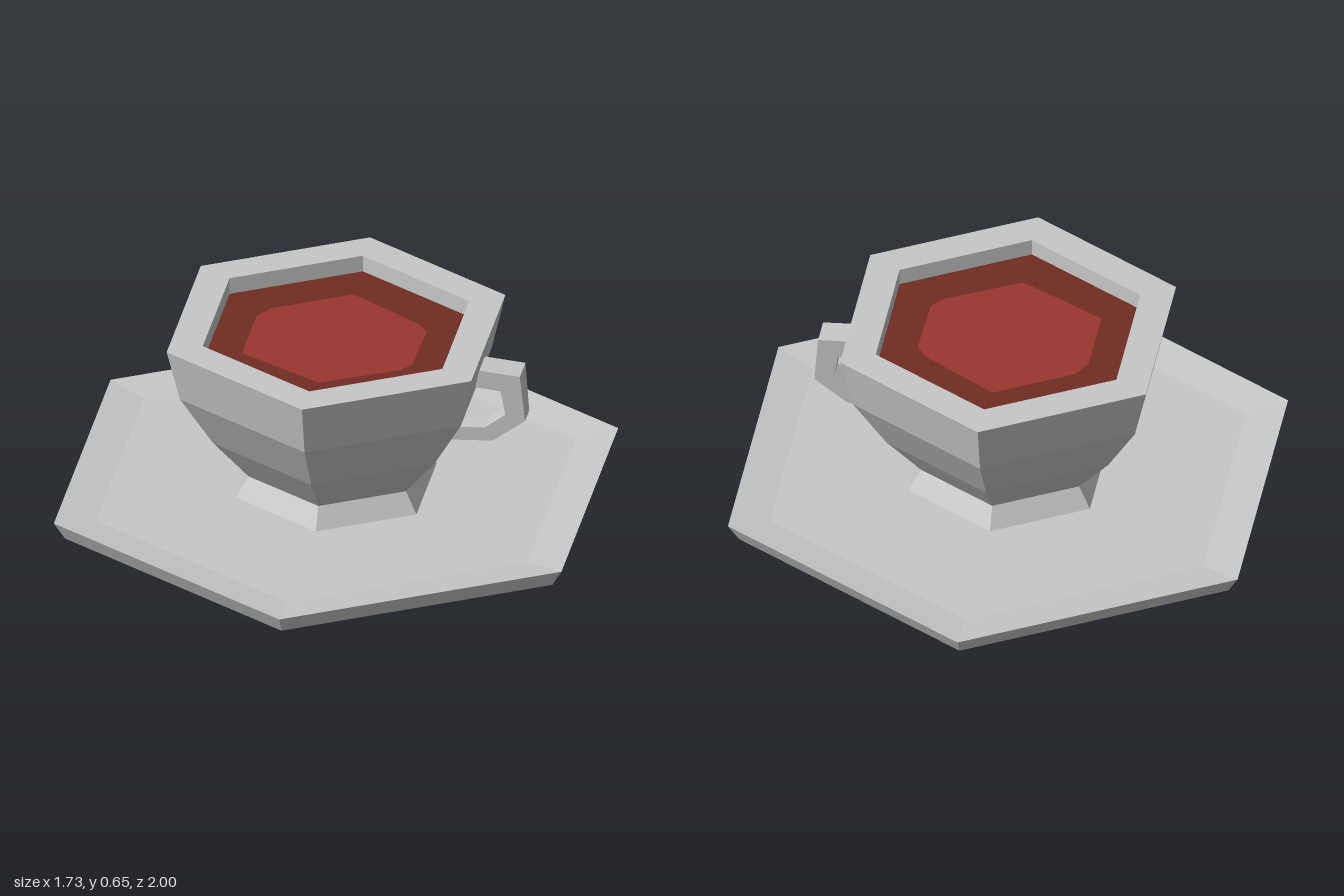
import * as THREE from 'three';

const china = new THREE.MeshStandardMaterial({ color: 0xc6c8c7 });
china.name = 'china';
const darkTea = new THREE.MeshStandardMaterial({ color: 0x702c24 });
darkTea.name = 'dark tea';
const lightTea = new THREE.MeshStandardMaterial({ color: 0x9c3630 });
lightTea.name = 'light tea';

// Gives every face its own flat normal
function faceted(geometry) {
  const flat = geometry.index ? geometry.toNonIndexed() : geometry;
  flat.computeVertexNormals();
  return flat;
}

// Six-sided turned part from [radius, height] pairs
function hexLathe(profile) {
  return faceted(new THREE.LatheGeometry(profile.map(([r, y]) => new THREE.Vector2(r, y)), 6));
}

function outline(points) {
  return new THREE.Shape(points.map(([x, y]) => new THREE.Vector2(x, y)));
}

export function createModel() {
  const model = new THREE.Group();
  model.name = 'teacup and saucer';

  function add(name, geometry, material) {
    const mesh = new THREE.Mesh(geometry, material);
    mesh.name = name;
    model.add(mesh);
    return mesh;
  }

  // Saucer with a slightly dished top
  add('saucer', hexLathe([[0, 0], [0.96, 0], [1, 0.065], [0.85, 0.048], [0, 0.048]]), china);

  // Flared foot under the cup
  add('foot', hexLathe([[0.358, 0.046], [0.31, 0.12]]), china);

  // Bowl: outer wall, thick rim and the inner wall down to the tea
  add('bowl', hexLathe([
    [0, 0.12], [0.31, 0.12], [0.435, 0.27], [0.553, 0.46], [0.6, 0.65], [0.472, 0.65], [0.472, 0.58],
  ]), china);

  // Handle: angular loop, narrowing in width towards the bottom
  const handle = new THREE.ExtrudeGeometry(outline([
    [0.45, 0.553], [0.637, 0.54], [0.652, 0.365], [0.54, 0.275], [0.35, 0.26],
    [0.35, 0.312], [0.515, 0.325], [0.585, 0.383], [0.57, 0.475], [0.45, 0.485],
  ]), { depth: 2, bevelEnabled: false });
  const pos = handle.attributes.position;
  for (let i = 0; i < pos.count; i++) {
    const halfWidth = THREE.MathUtils.mapLinear(pos.getY(i), 0.26, 0.55, 0.03, 0.05);
    pos.setZ(i, (pos.getZ(i) - 1) * halfWidth);
  }
  add('handle', faceted(handle), china);

  // Tea surface with a lighter middle
  const tea = add('teaSurface', new THREE.CircleGeometry(0.472, 6, Math.PI / 6), darkTea);
  const middle = add('teaMiddle', new THREE.ShapeGeometry(outline([
    [0, 0.305], [-0.25, 0.16], [-0.29, 0.1], [-0.29, -0.16], [-0.26, -0.175],
    [0, -0.31], [0.25, -0.175], [0.285, -0.13], [0.29, 0.1], [0.25, 0.15],
  ])), lightTea);
  tea.rotation.x = middle.rotation.x = -Math.PI / 2;
  tea.position.y = 0.59;
  middle.position.y = 0.594;

  return model;
}
